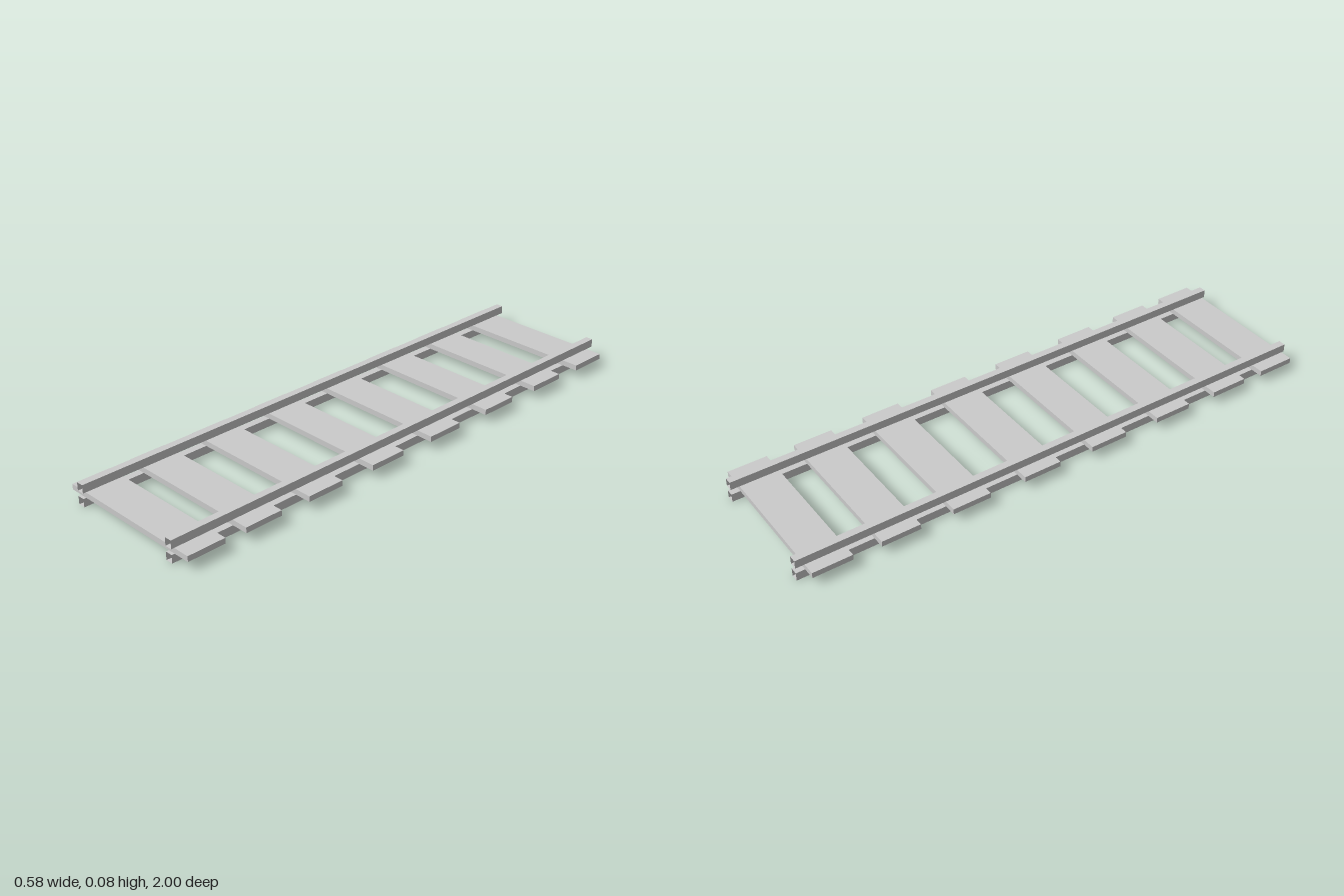
import * as THREE from 'three';

export function createModel() {
  const model = new THREE.Group();
  model.name = 'railwayTrack';
  const solid = new THREE.MeshStandardMaterial({ color: 0xcccccc, flatShading: true });
  const open = new THREE.MeshStandardMaterial({ color: 0xcccccc, flatShading: true, side: THREE.DoubleSide });

  // Sleepers, unevenly spaced along the track
  const sleeperGeometry = new THREE.BoxGeometry(0.58, 0.02, 0.142);
  [-0.897, -0.654, -0.391, -0.114, 0.161, 0.439, 0.696, 0.918].forEach((z, i) => {
    const sleeper = new THREE.Mesh(sleeperGeometry, solid);
    sleeper.name = `sleeper${i + 1}`;
    sleeper.position.set(0, 0.04, z);
    model.add(sleeper);
  });

  // Square tube open at both ends: a box without its front and back faces
  const railGeometry = new THREE.BoxGeometry(0.027, 0.03, 2);
  railGeometry.setIndex(Array.from(railGeometry.index.array).slice(0, 24));
  railGeometry.clearGroups();

  // Each side has a rail above the sleepers and a matching bearer below
  for (const [side, x] of [['left', 0.214], ['right', -0.23]]) {
    for (const [part, y] of [['Rail', 0.065], ['Bearer', 0.015]]) {
      const rail = new THREE.Mesh(railGeometry, open);
      rail.name = side + part;
      rail.position.set(x, y, 0);
      model.add(rail);
    }
  }
  return model;
}
